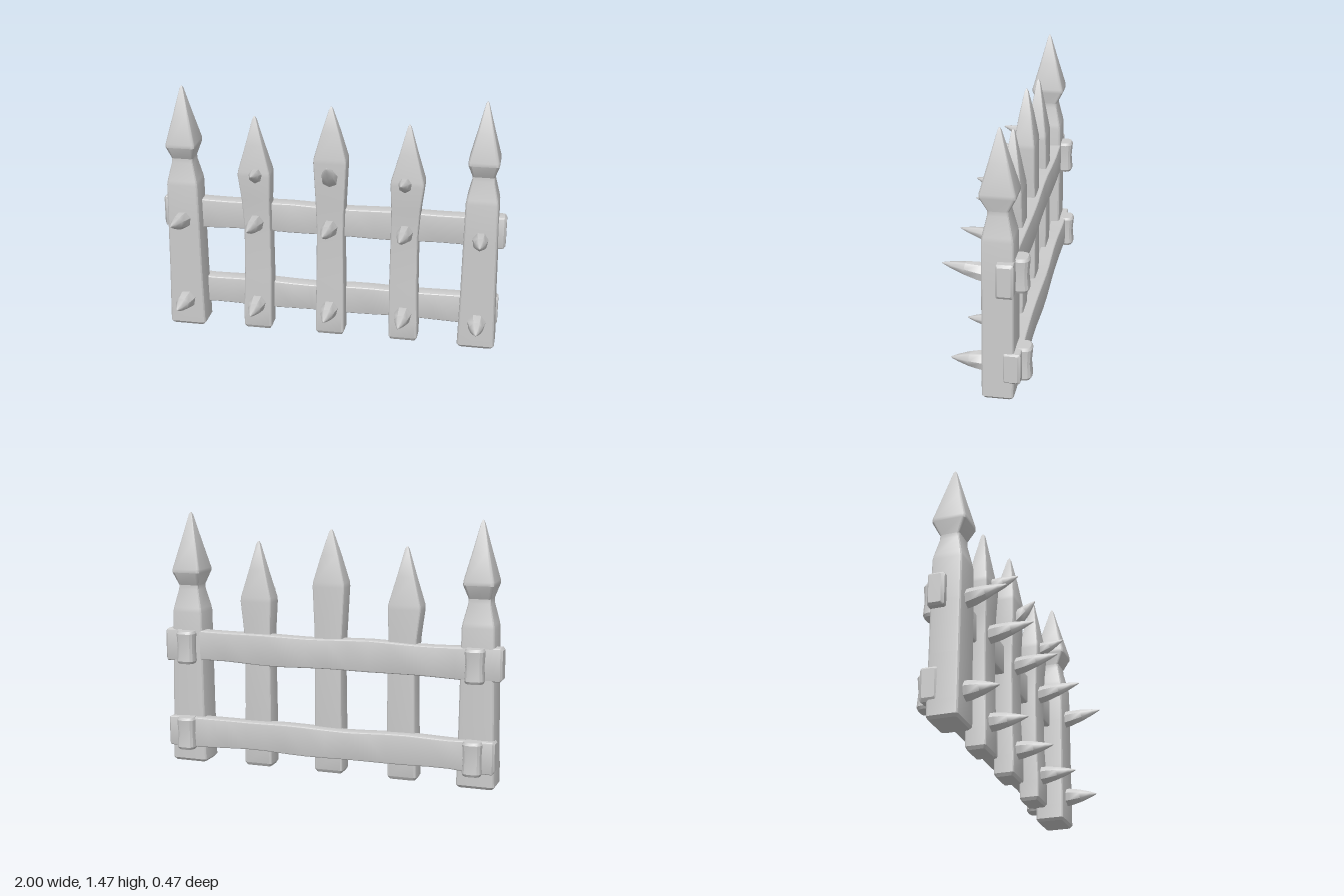
import * as THREE from 'three';
import { toCreasedNormals } from 'three/addons/utils/BufferGeometryUtils.js';

const material = new THREE.MeshStandardMaterial({ color: 0xcccccc });

// Lofts rounded rectangles along y. Level: [y, halfX, halfZ, shiftX, shiftZ]
function loft(levels, round = 0.22, crease = 0.5) {
  const pos = [], index = [], steps = 3, n = 4 * (steps + 1);
  for (const [y, hx, hz, sx = 0, sz = 0] of levels) {
    const r = round * Math.min(hx, hz);
    for (let q = 0; q < 4; q++) {
      const cx = (q === 0 || q === 3 ? 1 : -1) * (hx - r);
      const cz = (q < 2 ? 1 : -1) * (hz - r);
      for (let s = 0; s <= steps; s++) {
        const a = (q + s / steps) * Math.PI / 2;
        pos.push(cx + r * Math.cos(a) + sx, y, cz + r * Math.sin(a) + sz);
      }
    }
  }
  const last = levels.length - 1, bottom = n * (last + 1), top = bottom + 1;
  for (const [y, , , sx = 0, sz = 0] of [levels[0], levels[last]]) pos.push(sx, y, sz);
  for (let i = 0; i < n; i++) {
    const j = (i + 1) % n;
    for (let k = 0; k < last; k++) {
      const a = k * n + i, b = k * n + j;
      index.push(a, a + n, b, b, a + n, b + n);
    }
    index.push(bottom, i, j, top, last * n + j, last * n + i);
  }
  const g = new THREE.BufferGeometry();
  g.setAttribute('position', new THREE.Float32BufferAttribute(pos, 3));
  g.setIndex(index);
  return toCreasedNormals(g, crease);
}

function add(group, name, geometry, x = 0, y = 0, z = 0) {
  const mesh = new THREE.Mesh(geometry, material);
  mesh.name = name;
  mesh.position.set(x, y, z);
  group.add(mesh);
  return mesh;
}

// Spike with slightly swollen sides, pointing from base to tip
const spikeProfile = [[0, 0], [1, 0], [0.97, 0.18], [0.72, 0.5], [0.36, 0.8], [0.08, 0.98], [0, 1]]
  .map(([r, h]) => new THREE.Vector2(r, h));
const spikeGeometry = toCreasedNormals(new THREE.LatheGeometry(spikeProfile, 7), 0.7);

function addSpike(group, name, base, tip, rx, rz = rx) {
  const from = new THREE.Vector3(...base), dir = new THREE.Vector3(...tip).sub(from);
  const spike = add(group, name, spikeGeometry, ...base);
  spike.scale.set(rx, dir.length(), rz);
  spike.quaternion.setFromUnitVectors(new THREE.Vector3(0, 1, 0), dir.normalize());
}

// Rail along x with worn, gently wavy edges
function railGeometry(halfLength, halfHeight, halfDepth, phase) {
  const levels = [[-halfLength, halfHeight - 0.012, halfDepth - 0.012]];
  const n = 16;
  for (let i = 0; i <= n; i++) {
    const t = -1 + 2 * i / n;
    const wave = Math.sin(i * 1.3 + phase);
    const thin = Math.abs(t) > 0.8 ? 0 : 0.005;
    levels.push([t * (halfLength - 0.012), halfHeight - thin + 0.003 * wave, halfDepth - thin / 2,
      0.003 * Math.sin(i * 0.8 + phase), 0.003 * Math.cos(i * 0.9 + phase)]);
  }
  levels.push([halfLength, halfHeight - 0.012, halfDepth - 0.012]);
  return loft(levels, 0.25).rotateZ(-Math.PI / 2);
}

export function createModel() {
  const fence = new THREE.Group();
  fence.name = 'spikedFence';

  // Corner posts with spearhead finials
  const post = loft([
    [0, 0.095, 0.075], [0.015, 0.108, 0.085], [0.1, 0.106, 0.086], [0.35, 0.1, 0.085],
    [0.65, 0.096, 0.085], [0.89, 0.092, 0.084], [0.915, 0.088, 0.08], [1.02, 0.063, 0.056],
    [1.045, 0.062, 0.055], [1.12, 0.086, 0.094], [1.14, 0.086, 0.094],
    [1.3, 0.046, 0.05], [1.45, 0.01, 0.01], [1.465, 0.003, 0.003],
  ]);
  for (const side of [-1, 1]) {
    const x = side * 0.862;
    add(fence, side > 0 ? 'leftPost' : 'rightPost', post, x, 0, -0.065);
    addSpike(fence, 'lowerPostSpike', [x, 0.165, 0.005], [x + side * 0.01, 0.175, 0.2], 0.055);
    addSpike(fence, 'upperPostSpike', [x, 0.675, 0.005], [x + side * 0.01, 0.722, 0.235], 0.047, 0.052);

    // Rounded binding blocks behind each post
    const block = loft([
      [-0.095, 0.047, 0.042], [-0.08, 0.055, 0.05], [0, 0.05, 0.043],
      [0.08, 0.055, 0.05], [0.095, 0.047, 0.042],
    ], 0.75);
    add(fence, 'upperBinding', block, side * 0.855, 0.69, -0.168);
    add(fence, 'lowerBinding', block, side * 0.855, 0.182, -0.184);
  }

  // Pickets: flare height and tip height differ for the middle one
  for (const [x, flare, tip] of [[-0.435, 0.975, 1.31], [0, 1.08, 1.39], [0.435, 0.975, 1.31]]) {
    const s = Math.sign(x) * 0.006;
    const picket = loft([
      [0, 0.073, 0.048], [0.018, 0.084, 0.058], [0.12, 0.084, 0.06], [0.35, 0.081, 0.058, -s, -0.008],
      [0.65, 0.078, 0.056, -s, -0.01], [0.82, 0.083, 0.057, 0, -0.005], [flare - 0.01, 0.095, 0.06, s],
      [flare + 0.015, 0.093, 0.059, s], [flare + 0.17, 0.05, 0.035, s],
      [tip - 0.015, 0.011, 0.01, s], [tip, 0.003, 0.003, s],
    ]);
    add(fence, 'picket', picket, x, 0, -0.06);
    addSpike(fence, 'lowerPicketSpike', [x, 0.165, -0.015], [x * 0.99, 0.178, 0.2], 0.052);
    addSpike(fence, 'middlePicketSpike', [x, 0.675, -0.02], [x * 0.99, 0.722, 0.232], 0.047, 0.052);
    if (x === 0) addSpike(fence, 'topPicketSpike', [0, 0.97, -0.025], [0, 1.08, 0.1], 0.05, 0.045);
    else addSpike(fence, 'topPicketSpike', [x * 0.99, 0.965, -0.03], [x * 0.97, 1.017, 0.14], 0.04, 0.045);
  }

  // Rails running through the posts
  add(fence, 'upperRail', railGeometry(1, 0.092, 0.046, 0), 0, 0.695, -0.107);
  add(fence, 'lowerRail', railGeometry(0.975, 0.089, 0.046, 2), 0, 0.188, -0.137);

  return fence;
}
